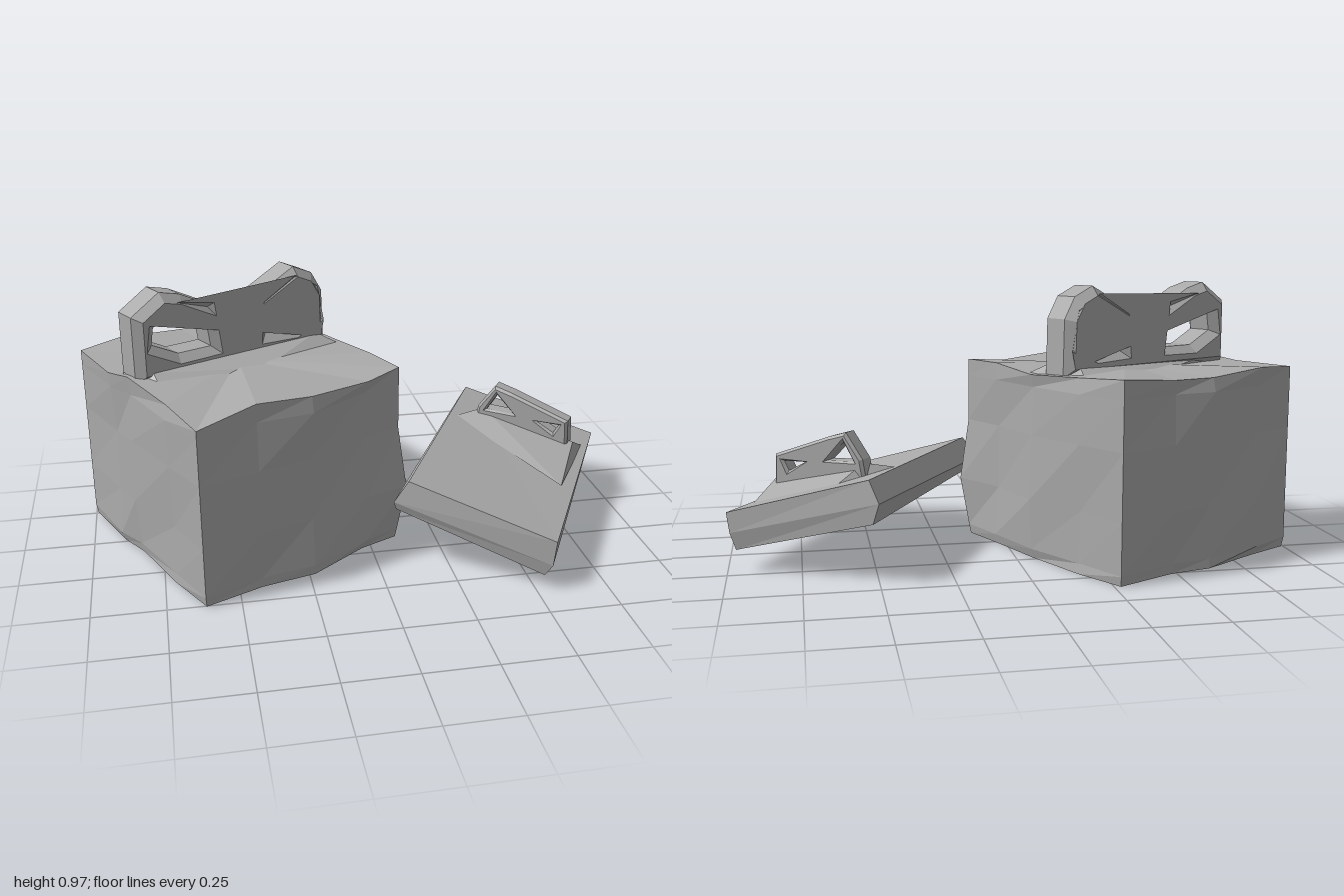
import * as THREE from 'three';
import { ConvexGeometry } from 'three/addons/geometries/ConvexGeometry.js';

const grey = new THREE.MeshStandardMaterial({ color: 0xaaaaaa, flatShading: true });
grey.name = 'plain grey';

function addMesh(group, name, geometry) {
  const mesh = new THREE.Mesh(geometry, grey);
  mesh.name = name;
  group.add(mesh);
  return mesh;
}

// Closed solid from stacked rings of [x, y, z], each clockwise seen from above
function loft(rings) {
  const out = [];
  const tri = (...pts) => pts.forEach((p) => out.push(...p));
  const n = rings[0].length;
  const centre = (ring) => [0, 1, 2].map((k) => ring.reduce((s, p) => s + p[k], 0) / n);
  const bottom = rings[0], top = rings[rings.length - 1];
  const cb = centre(bottom), ct = centre(top);
  for (let i = 0; i < n; i++) {
    const j = (i + 1) % n;
    for (let r = 0; r < rings.length - 1; r++) {
      const lo = rings[r], hi = rings[r + 1];
      tri(lo[j], lo[i], hi[i]);
      tri(lo[j], hi[i], hi[j]);
    }
    tri(ct, top[j], top[i]);
    tri(cb, bottom[i], bottom[j]);
  }
  const g = new THREE.BufferGeometry();
  g.setAttribute('position', new THREE.Float32BufferAttribute(out, 3));
  g.computeVertexNormals();
  return g;
}

// Bevelled plate with holes, centred on its own thickness
function loops(outline, holes, depth, bevel) {
  const vec = (pts) => pts.map(([x, y]) => new THREE.Vector2(x, y));
  const shape = new THREE.Shape(vec(outline));
  holes.forEach((h) => shape.holes.push(new THREE.Path(vec(h))));
  const g = new THREE.ExtrudeGeometry(shape, {
    depth: depth - 2 * bevel, bevelEnabled: true, bevelSegments: 1,
    bevelThickness: bevel, bevelSize: bevel, bevelOffset: -bevel,
  });
  return g.translate(0, 0, bevel - depth / 2);
}

export function createModel() {
  const group = new THREE.Group();

  // Box: uneven four-sided outline, slightly dented between its rings
  const plan = [
    [-1, -0.26], [-0.85, -0.35], [-0.63, -0.47], [-0.48, -0.52],
    [-0.27, -0.62], [-0.17, -0.45], [-0.05, -0.24], [0.03, -0.02],
    [0.11, 0.15], [-0.02, 0.22], [-0.23, 0.36], [-0.42, 0.42],
    [-0.62, 0.51], [-0.71, 0.33], [-0.83, 0.09], [-0.89, -0.01],
  ];
  const heights = [0.005, 0.04, 0.22, 0.45, 0.62, 0.675];
  const rings = heights.map((y, r) => plan.map(([x, z], i) => {
    const corner = i % 4 === 0;
    const dent = corner ? 0 : 0.018 * Math.sin(i * 2.3 + r * 1.7);
    const s = 1 - dent - (r === 0 ? 0.012 : 0);
    const lift = r === 5 ? 0.012 * Math.sin(i * 1.9) - (i === 12 ? 0.02 : 0) : 0;
    const spur = i === 8 && r === 2 ? 0.03 : 0;
    return [-0.445 + (x + 0.445) * s + spur, y + lift, -0.055 + (z + 0.055) * s + spur * 0.6];
  }));
  addMesh(group, 'box', loft(rings));

  // Low swelling of the lid under the bow
  addMesh(group, 'bowBase', new ConvexGeometry([
    [-0.86, 0.665, 0.04], [-0.72, 0.665, 0.16], [-0.05, 0.665, -0.2], [-0.2, 0.665, -0.4],
    [-0.55, 0.665, -0.2], [-0.35, 0.665, 0.03],
    [-0.82, 0.7, 0.02], [-0.74, 0.7, 0.1], [-0.13, 0.705, -0.22], [-0.2, 0.705, -0.31],
  ].map((p) => new THREE.Vector3(...p))));

  // Bow with two open loops, set across the lid
  const bow = addMesh(group, 'bow', loops(
    [[-0.39, 0.66], [0.4, 0.66], [0.395, 0.86], [0.35, 0.935], [0.27, 0.97], [0.1, 0.885],
      [-0.07, 0.885], [-0.2, 0.95], [-0.28, 0.97], [-0.39, 0.9]],
    [
      [[-0.32, 0.79], [-0.31, 0.85], [-0.22, 0.9], [-0.11, 0.88], [-0.09, 0.74], [-0.22, 0.74]],
      [[0.14, 0.74], [0.15, 0.85], [0.26, 0.91], [0.33, 0.87], [0.35, 0.77], [0.26, 0.735]],
    ], 0.15, 0.03));
  bow.position.set(-0.475, 0, -0.115);
  bow.rotation.y = 0.47;

  // Loose lid: tilted slab leaning against the box
  addMesh(group, 'looseLid', loft([
    [[0.06, 0.23, 0.355], [0.52, 0.21, -0.45], [0.97, 0.08, -0.2], [0.53, 0.055, 0.6]],
    [[0.05, 0.26, 0.36], [0.5, 0.28, -0.46], [0.99, 0.14, -0.2], [0.55, 0.1, 0.62]],
    [[0.1, 0.34, 0.37], [0.53, 0.355, -0.43], [1, 0.21, -0.19], [0.56, 0.19, 0.62]],
  ]));

  // Raised fold carrying the small loop
  addMesh(group, 'lidFold', new ConvexGeometry([
    [0.41, 0.34, -0.17], [0.53, 0.362, -0.18], [0.83, 0.28, 0.03],
    [0.7, 0.22, 0.27], [0.92, 0.205, -0.09], [0.63, 0.3, -0.25], [0.65, 0.2, 0],
  ].map((p) => new THREE.Vector3(...p))));

  // Small slanting loop on the slab
  const handle = addMesh(group, 'lidLoop', loops(
    [[-0.05, 0.3], [0.33, 0.23], [0.325, 0.372], [0.1, 0.45], [0.03, 0.47], [-0.035, 0.38]],
    [
      [[0, 0.37], [0.04, 0.435], [0.11, 0.365]],
      [[0.2, 0.352], [0.29, 0.35], [0.27, 0.315]],
    ], 0.07, 0.01));
  handle.position.set(0.55, 0, -0.17);
  handle.rotation.y = -0.61;

  return group;
}
